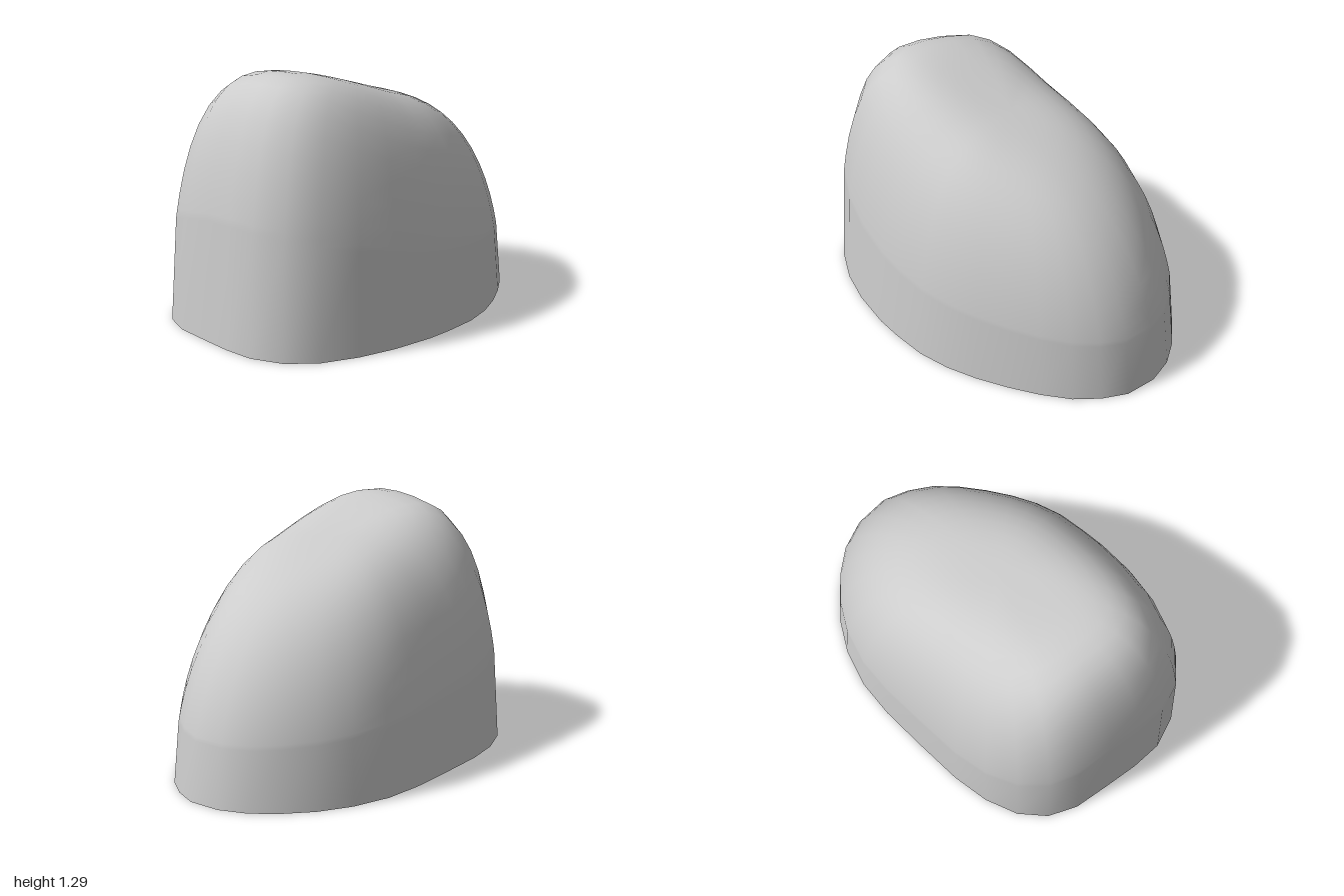
import * as THREE from 'three';

// Footprint of the shell on the ground (x, z)
const FOOTPRINT = [
  [-1, 0.27], [-1, 0.1], [-0.98, -0.08], [-0.955, -0.28], [-0.89, -0.43], [-0.77, -0.545],
  [-0.6, -0.62], [-0.4, -0.66], [-0.14, -0.68], [0.12, -0.695], [0.33, -0.685], [0.53, -0.63],
  [0.7, -0.54], [0.83, -0.43], [0.93, -0.31], [0.99, -0.17], [1, 0], [0.95, 0.13],
  [0.87, 0.25], [0.75, 0.36], [0.61, 0.46], [0.46, 0.55], [0.31, 0.62], [0.14, 0.67],
  [-0.05, 0.69], [-0.2, 0.695], [-0.43, 0.675], [-0.63, 0.63], [-0.82, 0.55], [-0.94, 0.43],
];

// Height of the sloping crown, highest towards -x and slightly towards the front
const crown = (x, z) => 1.14 - 0.26 * x + (x < 0 ? 0.12 * x * x : 0) + 0.05 * z;

// Squareness of the shoulder: full on the -x side, softer on its rear corner
function shoulder(x, z) {
  const length = Math.hypot(x, z);
  const leftward = Math.max(0, -x / length);
  const backward = Math.max(0, -z / length);
  return 3.4 + leftward ** 2 * (1.5 - 3.5 * backward ** 2);
}

// Dome lofted as shrinking copies of the footprint, with one tall straight band at the foot
function domeGeometry(rings) {
  const sides = FOOTPRINT.length;
  const positions = [0, crown(0, 0), 0];
  const index = [];

  for (let i = 1; i <= rings; i++) {
    const s = i === rings ? 1 : 0.965 * Math.sin((i / (rings - 1)) * Math.PI / 2);
    for (const [rx, rz] of FOOTPRINT) {
      const x = rx * s, z = rz * s;
      positions.push(x, crown(x, z) * Math.sqrt(1 - s ** shoulder(rx, rz)), z);
    }
  }

  const at = (i, j) => 1 + (i - 1) * sides + (j % sides);
  for (let j = 0; j < sides; j++) {
    index.push(0, at(1, j + 1), at(1, j));
    for (let i = 1; i < rings; i++) {
      const a = at(i, j), b = at(i, j + 1), c = at(i + 1, j), d = at(i + 1, j + 1);
      index.push(a, d, c, a, b, d);
    }
  }

  const geometry = new THREE.BufferGeometry();
  geometry.setAttribute('position', new THREE.Float32BufferAttribute(positions, 3));
  geometry.setIndex(index);
  geometry.computeVertexNormals();
  return geometry;
}

export function createModel() {
  const group = new THREE.Group();
  group.name = 'boulder';

  // Thin shell, open underneath
  const stone = new THREE.MeshStandardMaterial({ color: 0xcccccc, side: THREE.DoubleSide });
  stone.name = 'light grey stone';
  const shell = new THREE.Mesh(domeGeometry(16), stone);
  shell.name = 'boulderShell';
  group.add(shell);
  return group;
}
